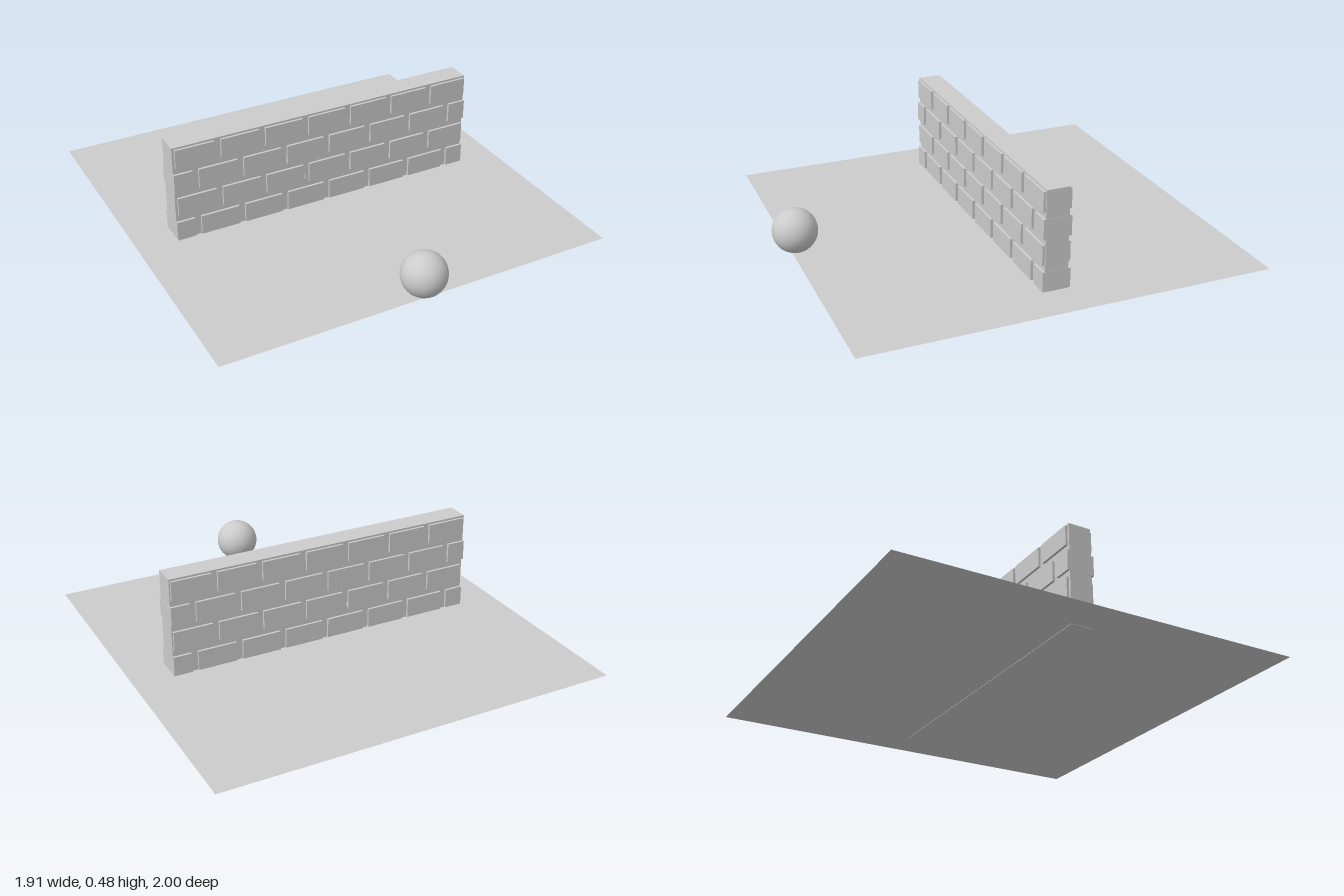
import * as THREE from 'three';

const material = new THREE.MeshStandardMaterial({ color: 0xcccccc });
const groundMaterial = new THREE.MeshStandardMaterial({ color: 0xcccccc, side: THREE.DoubleSide });

const WALL_Z = -0.042, CORE_DEPTH = 0.109, BRICK_DEPTH = 0.132;
const WALL_HALF = 0.766, BRICK_W = 0.19, BRICK_H = 0.095;
const PITCH_X = 0.2205, PITCH_Y = 0.124;

function add(parent, name, geometry, x, y, z, mat = material) {
  const mesh = new THREE.Mesh(geometry, mat);
  mesh.name = name;
  mesh.position.set(x, y, z);
  parent.add(mesh);
  return mesh;
}

// Bricks run through the whole wall and stand proud on both faces
function addBrick(parent, x0, x1, y0, y1) {
  add(parent, 'brick', new THREE.BoxGeometry(x1 - x0, y1 - y0, BRICK_DEPTH),
    (x0 + x1) / 2, (y0 + y1) / 2, WALL_Z);
}

function createWall() {
  const wall = new THREE.Group();
  wall.name = 'brickWall';
  add(wall, 'mortarCore', new THREE.BoxGeometry(WALL_HALF * 2 - 0.002, 0.48, CORE_DEPTH), 0, 0.24, WALL_Z);

  // Four courses in running bond, half bricks cut flush at the ends
  for (let row = 0; row < 4; row++) {
    const staggered = row % 2 === 0;
    const y1 = 0.099 + row * PITCH_Y;
    const y0 = Math.max(0, y1 - BRICK_H);
    const start = staggered ? -0.646 - PITCH_X : -0.754;
    const count = staggered ? 8 : 7;
    for (let i = 0; i < count; i++) {
      const x = start + i * PITCH_X;
      addBrick(wall, Math.max(x, -WALL_HALF), Math.min(x + BRICK_W, WALL_HALF), y0, y1);
    }
  }
  return wall;
}

// Tiny chips scattered around the middle of both wall faces
function createChips() {
  const chips = new THREE.Group();
  chips.name = 'wallChips';
  const spots = [[-0.115, 0.155, 0.006], [-0.125, 0.055, 0.003], [-0.135, 0.02, 0.003],
    [-0.085, 0.247, 0.003], [-0.05, 0.247, 0.003], [0.147, 0.15, 0.003],
    [0.07, 0.022, 0.003], [-0.12, 0.17, 0.003], [0.055, 0.02, 0.003]];
  for (const side of [-1, 1]) {
    for (const [x, y, r] of spots) {
      add(chips, 'chip', new THREE.TetrahedronGeometry(r), x, y, WALL_Z + side * BRICK_DEPTH / 2);
    }
  }
  return chips;
}

export function createModel() {
  const model = new THREE.Group();
  model.name = 'wallAndBall';

  // Flat ground sheet
  const ground = add(model, 'ground', new THREE.PlaneGeometry(1.912, 1.914), 0, 0.002, -0.043, groundMaterial);
  ground.rotation.x = -Math.PI / 2;

  model.add(createWall(), createChips());

  // Ball in front of the wall
  add(model, 'ball', new THREE.SphereGeometry(0.104, 32, 16), 0, 0.117, 0.896);
  return model;
}
